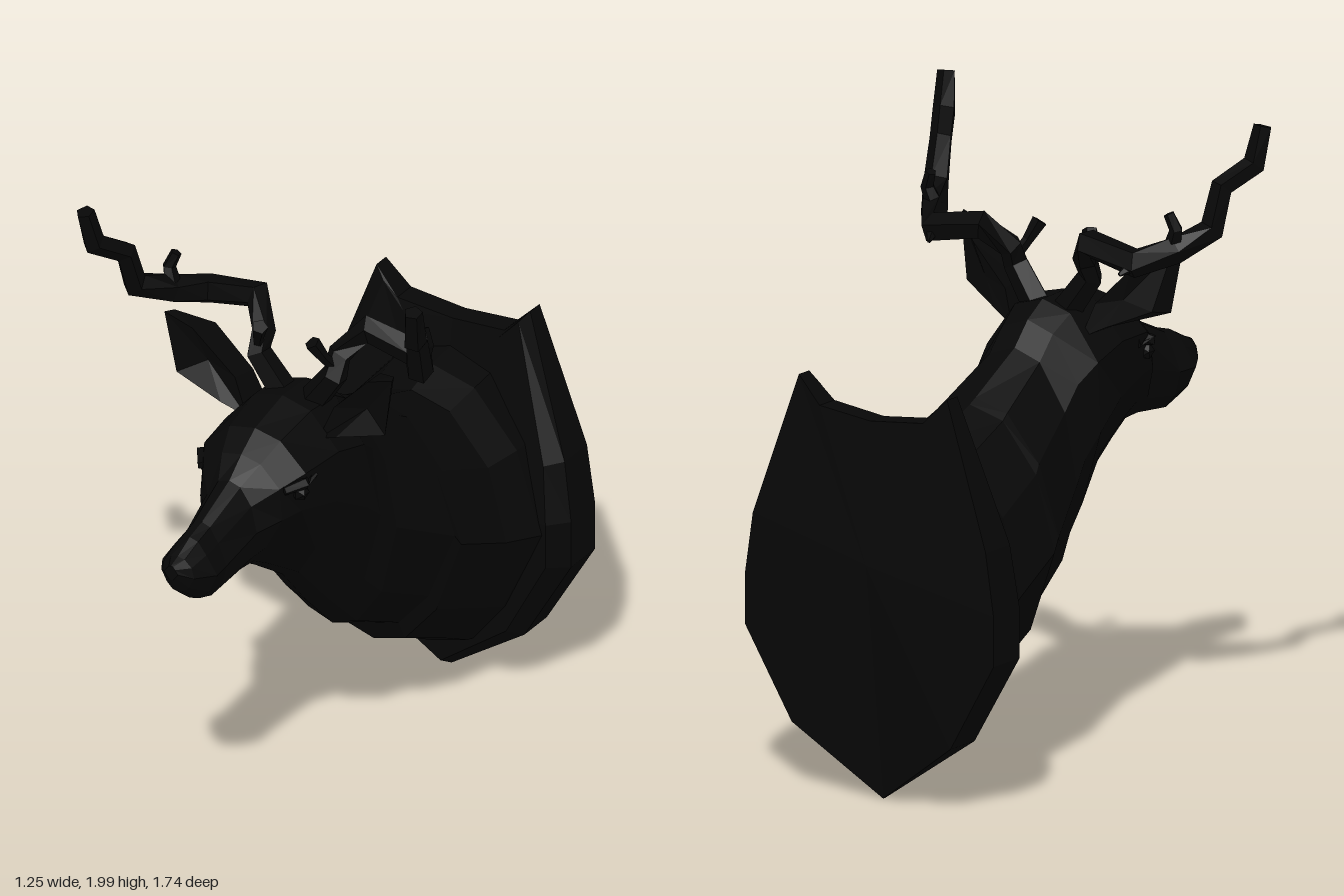
import * as THREE from 'three';

const dark = new THREE.MeshStandardMaterial({ color: 0x070707, flatShading: true });

// Flat-shaded skin through closed rings of points; the end caps fan to a centre point.
function loft(name, rings, startCentre, endCentre) {
  const n = rings[0].length, tris = [];
  const mean = r => r.reduce((a, p) => a.map((v, i) => v + p[i] / n), [0, 0, 0]);
  const last = rings[rings.length - 1];
  const c0 = startCentre || mean(rings[0]), c1 = endCentre || mean(last);
  for (let j = 0; j < n; j++) {
    const k = (j + 1) % n;
    tris.push([c0, rings[0][k], rings[0][j]], [c1, last[j], last[k]]);
    for (let i = 0; i + 1 < rings.length; i++) {
      const a = rings[i], b = rings[i + 1];
      tris.push([a[j], a[k], b[k]], [a[j], b[k], b[j]]);
    }
  }
  // Turn the faces outward if the enclosed volume is negative
  const v = p => new THREE.Vector3(...p);
  const volume = tris.reduce((s, [a, b, c]) => s + v(a).dot(v(b).cross(v(c))), 0);
  if (volume < 0) tris.forEach(t => t.reverse());
  const g = new THREE.BufferGeometry();
  g.setAttribute('position', new THREE.Float32BufferAttribute(tris.flat(2), 3));
  g.computeVertexNormals();
  const mesh = new THREE.Mesh(g, dark);
  mesh.name = name;
  return mesh;
}

// Tapered angular branch along a polyline of [x, y, z, radius]
function branch(name, path, side) {
  const pts = path.map(([x, y, z]) => new THREE.Vector3(x * side, y, z));
  const rings = pts.map((p, i) => {
    const before = pts[Math.max(i - 1, 0)], after = pts[Math.min(i + 1, pts.length - 1)];
    const dir = after.clone().sub(before).normalize();
    const u = new THREE.Vector3(0, 0, 1).cross(dir).normalize();
    const w = dir.clone().cross(u);
    return [0, 1, 2, 3, 4].map(k => {
      const a = k / 5 * Math.PI * 2, r = path[i][3];
      return p.clone().addScaledVector(u, Math.cos(a) * r).addScaledVector(w, Math.sin(a) * r).toArray();
    });
  });
  return loft(name, rings);
}

function headAndNeck() {
  // z, top, bottom, then half widths: upper, middle, lower
  const sections = [
    [0.87, 1.13, 1.08, 0.015, 0.025, 0.015],
    [0.83, 1.145, 1.02, 0.05, 0.06, 0.04],
    [0.76, 1.18, 0.965, 0.06, 0.10, 0.07],
    [0.69, 1.20, 0.94, 0.06, 0.09, 0.07],
    [0.53, 1.27, 0.955, 0.08, 0.10, 0.08],
    [0.46, 1.33, 0.95, 0.14, 0.15, 0.09],
    [0.38, 1.385, 0.90, 0.185, 0.17, 0.10],
    [0.22, 1.425, 0.79, 0.205, 0.20, 0.12],
    [0.08, 1.42, 0.63, 0.21, 0.22, 0.15],
    [0.00, 1.37, 0.55, 0.19, 0.22, 0.16],
    [-0.07, 1.295, 0.48, 0.19, 0.235, 0.18],
    [-0.28, 1.18, 0.38, 0.24, 0.315, 0.22],
    [-0.31, 1.165, 0.31, 0.25, 0.32, 0.23],
    [-0.53, 1.085, 0.205, 0.28, 0.345, 0.24],
    [-0.65, 1.12, 0.14, 0.31, 0.40, 0.26],
    [-0.78, 1.135, 0.10, 0.31, 0.40, 0.26],
  ];
  return loft('headAndNeck', sections.map(([z, top, bottom, u, m, l]) => {
    const y = f => bottom + (top - bottom) * f;
    const half = [[u * 0.5, y(0.96)], [u, y(0.78)], [m, y(0.5)], [l, y(0.2)], [l * 0.5, y(0.04)]];
    return [[0, top, z], ...half.map(([x, h]) => [x, h, z]), [0, bottom, z],
      ...half.reverse().map(([x, h]) => [-x, h, z])];
  }));
}

function wallBoard() {
  // Half outline from the bottom tip to the top dip: x, y, then z of rim front, back and raised bevel
  const half = [
    [0, 0.005, -0.765, -0.775, -0.70], [0.30, 0.22, -0.71, -0.84, -0.66], [0.47, 0.51, -0.71, -0.85, -0.65],
    [0.47, 0.67, -0.71, -0.85, -0.65], [0.44, 0.87, -0.72, -0.85, -0.68], [0.28, 1.33, -0.775, -0.83, -0.76],
    [0.195, 1.245, -0.76, -0.84, -0.755], [0, 1.225, -0.77, -0.845, -0.765],
  ];
  const outline = [...half, ...half.slice(1, -1).reverse().map(([x, ...r]) => [-x, ...r])];
  const back = outline.map(([x, y, f, b]) => [x, y, b]);
  const front = outline.map(([x, y, f]) => [x, y, f]);
  const bevel = outline.map(([x, y, f, b, raised]) => [x * 0.88, 0.65 + (y - 0.65) * 0.94, raised]);
  return loft('wallBoard', [back, front, bevel], [0, 0.77, -0.87], [0, 0.65, -0.70]);
}

// Broad ear with a cupped front and a deeper back
function ear(side) {
  const flip = ([x, y, z]) => [x * side, y, z];
  const front = [[0.13, 1.31, 0.22], [0.21, 1.35, 0.245], [0.38, 1.40, 0.23], [0.415, 1.61, 0.245],
    [0.32, 1.575, 0.235], [0.18, 1.43, 0.21]];
  const back = [[0.13, 1.31, 0.10], [0.21, 1.35, 0.12], [0.35, 1.41, 0.17], [0.40, 1.605, 0.21],
    [0.30, 1.55, 0.13], [0.17, 1.42, 0.12]];
  return loft('ear', [back.map(flip), front.map(flip)], undefined, flip([0.29, 1.45, 0.19]));
}

function antler(side) {
  const g = new THREE.Group();
  g.name = 'antler';
  g.add(branch('antlerBeam', [
    [0.04, 1.36, 0.13, 0.05], [0.14, 1.50, 0.14, 0.042], [0.14, 1.56, 0.11, 0.04],
    [0.20, 1.635, 0.04, 0.046], [0.38, 1.60, 0.035, 0.048], [0.455, 1.63, 0.14, 0.045],
    [0.52, 1.68, 0.25, 0.042], [0.53, 1.81, 0.29, 0.037], [0.585, 1.87, 0.385, 0.038],
    [0.598, 1.99, 0.415, 0.03],
  ], side));
  g.add(branch('browTine', [[0.14, 1.52, 0.13, 0.018], [0.12, 1.57, 0.17, 0.018], [0.095, 1.63, 0.20, 0.026]], side));
  g.add(branch('middleTine', [[0.45, 1.64, 0.14, 0.03], [0.47, 1.70, 0.13, 0.022], [0.45, 1.75, 0.12, 0.018]], side));
  g.add(branch('rearTine', [[0.38, 1.60, 0.04, 0.03], [0.36, 1.57, -0.02, 0.006]], side));
  return g;
}

export function createModel() {
  const model = new THREE.Group();
  model.add(wallBoard(), headAndNeck());
  for (const side of [1, -1]) {
    model.add(ear(side), antler(side));
    // Eye under a small brow ridge
    const eye = new THREE.Mesh(new THREE.IcosahedronGeometry(0.03, 0), dark);
    eye.name = 'eye';
    eye.position.set(side * 0.17, 1.215, 0.39);
    model.add(eye);
    model.add(branch('brow', [[0.18, 1.25, 0.33, 0.018], [0.187, 1.25, 0.39, 0.02], [0.15, 1.24, 0.45, 0.015]], side));
  }
  return model;
}
